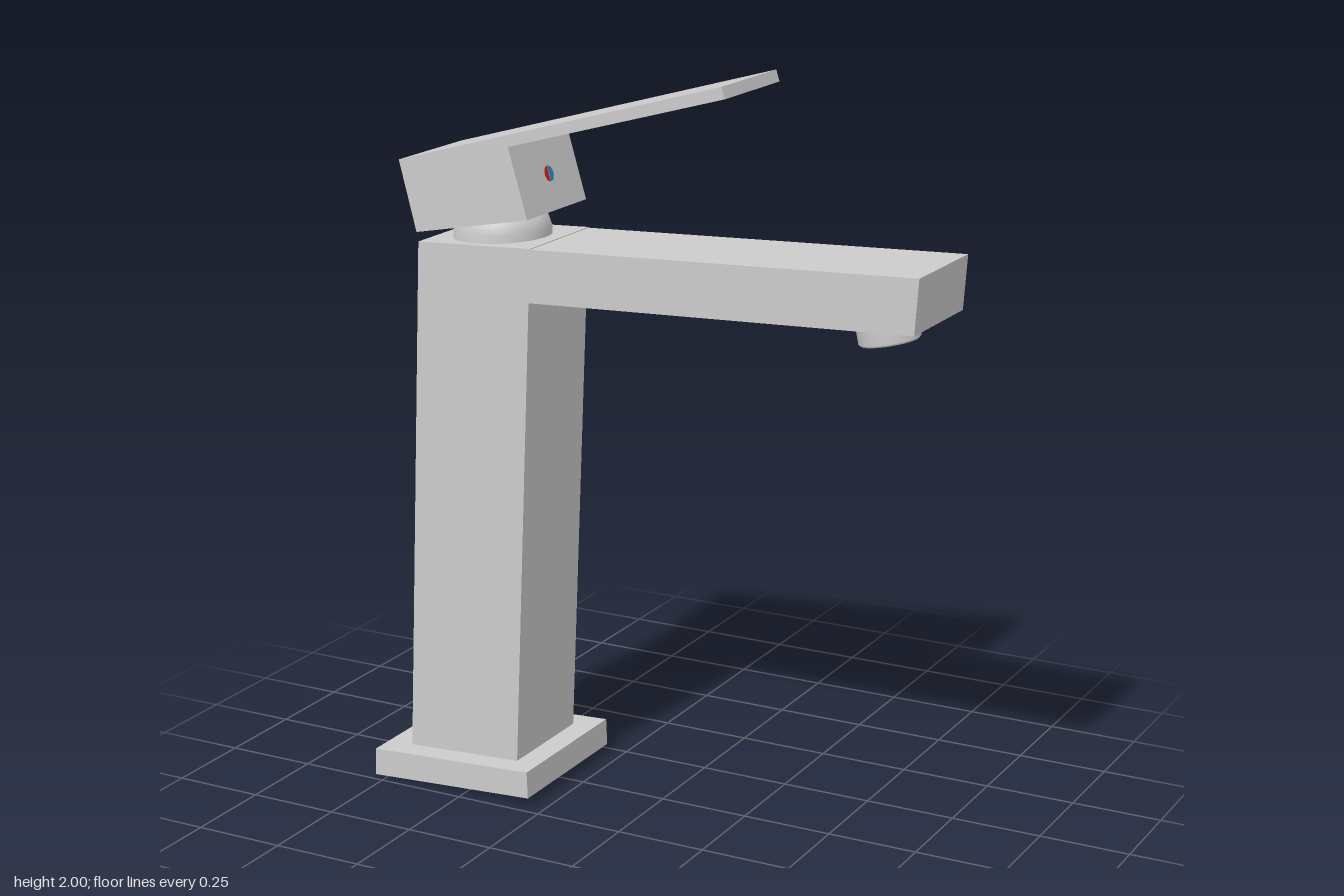
import * as THREE from 'three';

const grey = new THREE.MeshStandardMaterial({ color: 0xcccccc });
const greyOpen = new THREE.MeshStandardMaterial({ color: 0xcccccc, side: THREE.DoubleSide });

// Extrudes a side profile (x, y corners) symmetrically along z
function slab(name, corners, halfWidth) {
  const shape = new THREE.Shape(corners.map(([x, y]) => new THREE.Vector2(x, y)));
  const geometry = new THREE.ExtrudeGeometry(shape, { depth: 2 * halfWidth, bevelEnabled: false });
  geometry.translate(0, 0, -halfWidth);
  const mesh = new THREE.Mesh(geometry, grey);
  mesh.name = name;
  return mesh;
}

// Revolves a (radius, y) profile
function turned(name, profile, material) {
  const points = profile.map(([r, y]) => new THREE.Vector2(r, y));
  const mesh = new THREE.Mesh(new THREE.LatheGeometry(points, 40), material);
  mesh.name = name;
  return mesh;
}

export function createModel() {
  const faucet = new THREE.Group();
  faucet.name = 'faucet';
  const half = 0.155;

  // Slightly leaning base plate, column and spout
  faucet.add(
    slab('basePlate', [[-0.79, 0], [-0.297, 0.025], [-0.3, 0.1], [-0.787, 0.077]], 0.222),
    slab('column', [[-0.71, 0.07], [-0.37, 0.085], [-0.308, 1.535], [-0.65, 1.52]], half),
    slab('spout', [[-0.316, 1.39], [0.775, 1.43], [0.785, 1.575], [-0.31, 1.533]], half)
  );

  // Domed neck between column and handle
  const neck = turned('neck', [[0.132, 1.5], [0.132, 1.55], [0.122, 1.58], [0.1, 1.605], [0, 1.62]], grey);
  neck.position.x = -0.482;
  faucet.add(neck);

  // Handle block with its thin lever in one profile
  faucet.add(slab('handle', [
    [-0.655, 1.545], [-0.315, 1.61], [-0.37, 1.797],
    [0.255, 1.97], [0.245, 2], [-0.705, 1.735]
  ], half));

  // Hollow tilted outlet under the spout tip
  const outlet = turned('outlet', [
    [0, 0.03], [0.058, 0.03], [0.058, 0.006], [0.064, 0],
    [0.074, 0], [0.08, 0.006], [0.08, 0.11]
  ], greyOpen);
  outlet.position.set(0.645, 1.367, 0);
  outlet.rotation.z = 0.2;
  faucet.add(outlet);

  // Red and blue half discs marking hot and cold
  const marker = new THREE.Group();
  marker.name = 'temperatureMarker';
  marker.position.set(-0.34, 1.704, 0);
  marker.rotation.z = 0.286;
  [['hotMark', 0xcc2211, 1], ['coldMark', 0x2288cc, -1]].forEach(([name, color, side]) => {
    const disc = new THREE.Mesh(
      new THREE.CircleGeometry(0.021, 16, side * Math.PI / 2, Math.PI),
      new THREE.MeshStandardMaterial({ color })
    );
    disc.name = name;
    disc.rotation.y = Math.PI / 2;
    disc.position.set(0.002, 0, side * 0.001);
    marker.add(disc);
  });
  faucet.add(marker);

  return faucet;
}
